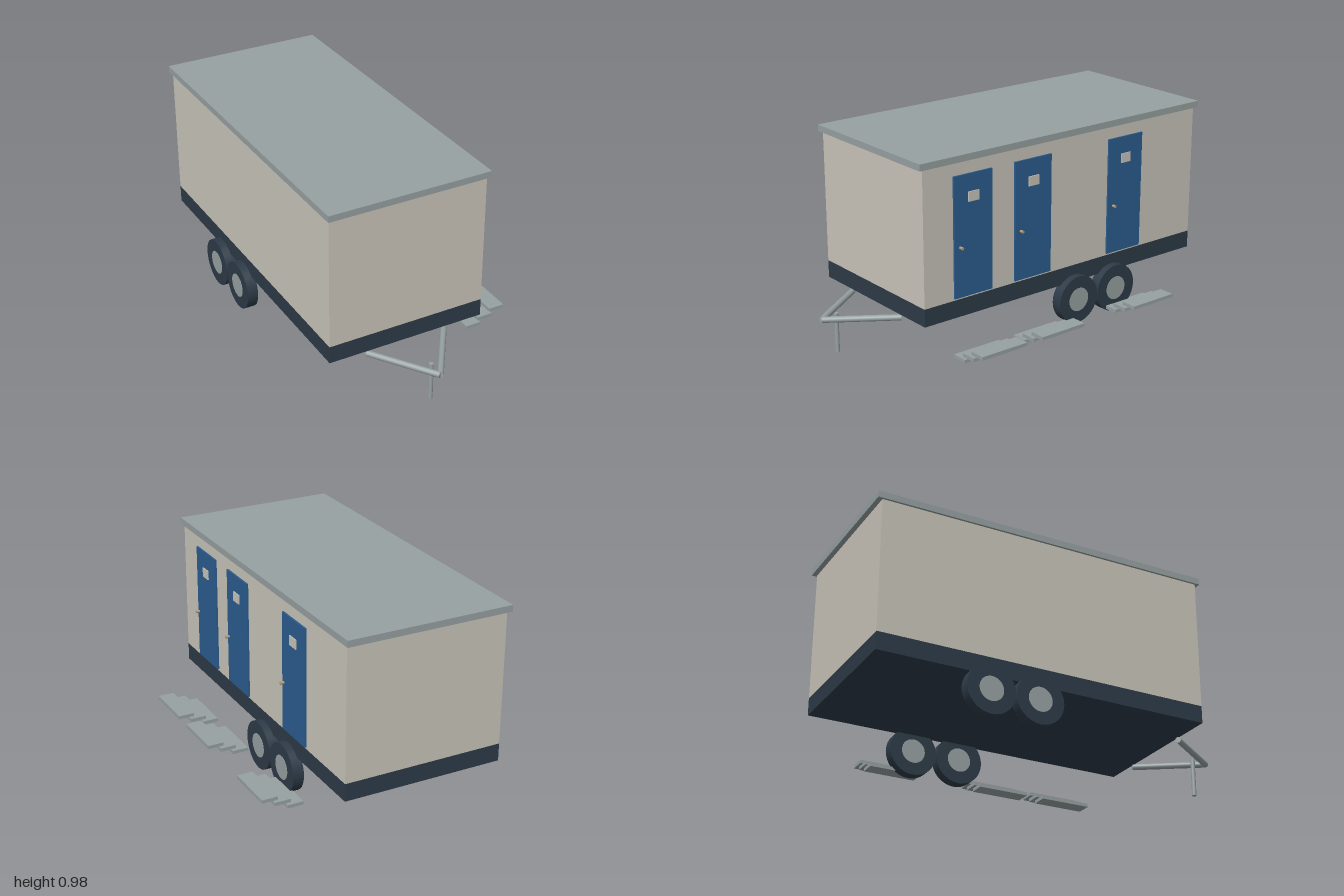
import * as THREE from 'three';

const mat = (name, color) => {
  const m = new THREE.MeshStandardMaterial({ color });
  m.name = name;
  return m;
};

export function createModel() {
  const cream = mat('cream wall', 0xcac6bb);
  const grey = mat('grey metal', 0x97a1a2);
  const navy = mat('dark navy', 0x2d3b48);
  const blue = mat('door blue', 0x2c5d8f);
  const brass = mat('handle brass', 0xb09a78);

  const model = new THREE.Group();
  model.name = 'trailerCabin';

  const add = (name, geometry, material, parent = model) => {
    const mesh = new THREE.Mesh(geometry, material);
    mesh.name = name;
    parent.add(mesh);
    return mesh;
  };
  // Box given by its lower and upper limits on each axis
  const box = (name, material, [x0, x1], [y0, y1], [z0, z1], parent) => {
    const mesh = add(name, new THREE.BoxGeometry(x1 - x0, y1 - y0, z1 - z0), material, parent);
    mesh.position.set((x0 + x1) / 2, (y0 + y1) / 2, (z0 + z1) / 2);
    return mesh;
  };
  // Round bar between two points
  const bar = (name, material, from, to, radius, sides = 16, parent) => {
    const a = new THREE.Vector3(...from), b = new THREE.Vector3(...to);
    const dir = b.clone().sub(a);
    const mesh = add(name, new THREE.CylinderGeometry(radius, radius, dir.length(), sides), material, parent);
    mesh.position.copy(a).add(b).multiplyScalar(0.5);
    mesh.quaternion.setFromUnitVectors(new THREE.Vector3(0, 1, 0), dir.normalize());
    return mesh;
  };

  // Cabin shell
  box('chassis', navy, [-0.5, 0.3], [0.203, 0.29], [-0.976, 0.697]);
  box('cabinWalls', cream, [-0.5, 0.3], [0.29, 0.946], [-0.976, 0.697]);
  box('roof', grey, [-0.511, 0.311], [0.946, 0.978], [-1, 0.717]);

  // Doors on the left side, each with window, handle and three steps
  for (const z of [0.423, 0.071, -0.51]) {
    const entrance = new THREE.Group();
    entrance.name = 'entrance';
    entrance.position.z = z;
    model.add(entrance);
    box('door', blue, [0.299, 0.309], [0.3, 0.884], [-0.109, 0.109], entrance);
    box('doorWindow', cream, [0.308, 0.314], [0.753, 0.8], [-0.03, 0.03], entrance);
    bar('doorHandle', brass, [0.315, 0.546, 0.081], [0.335, 0.546, 0.081], 0.007, 12, entrance);
    for (let i = 0; i < 3; i++) {
      const x = 0.325 + i * 0.065, y = 0.022 + i * 0.03;
      box('step', grey, [x, x + 0.081], [y, y + 0.017], [-0.13, 0.13], entrance);
    }
  }

  // Twin axles: tyres with hubs showing on both faces
  for (const x of [-0.511, 0.309]) {
    for (const z of [-0.198, -0.441]) {
      const wheel = new THREE.Group();
      wheel.name = 'wheel';
      wheel.position.set(x, 0.12, z);
      model.add(wheel);
      bar('tyre', navy, [-0.0275, 0, 0], [0.0275, 0, 0], 0.12, 32, wheel);
      bar('hub', grey, [-0.029, 0, 0], [0.029, 0, 0], 0.06, 24, wheel);
    }
  }

  // A-frame drawbar and support leg
  for (const side of [-1, 1]) {
    bar('drawbar', grey, [-0.1, 0.187, 0.991], [-0.1 + side * 0.205, 0.187, 0.689], 0.015);
  }
  bar('supportLeg', grey, [-0.1, 0.007, 0.913], [-0.1, 0.2, 0.913], 0.011);

  return model;
}
